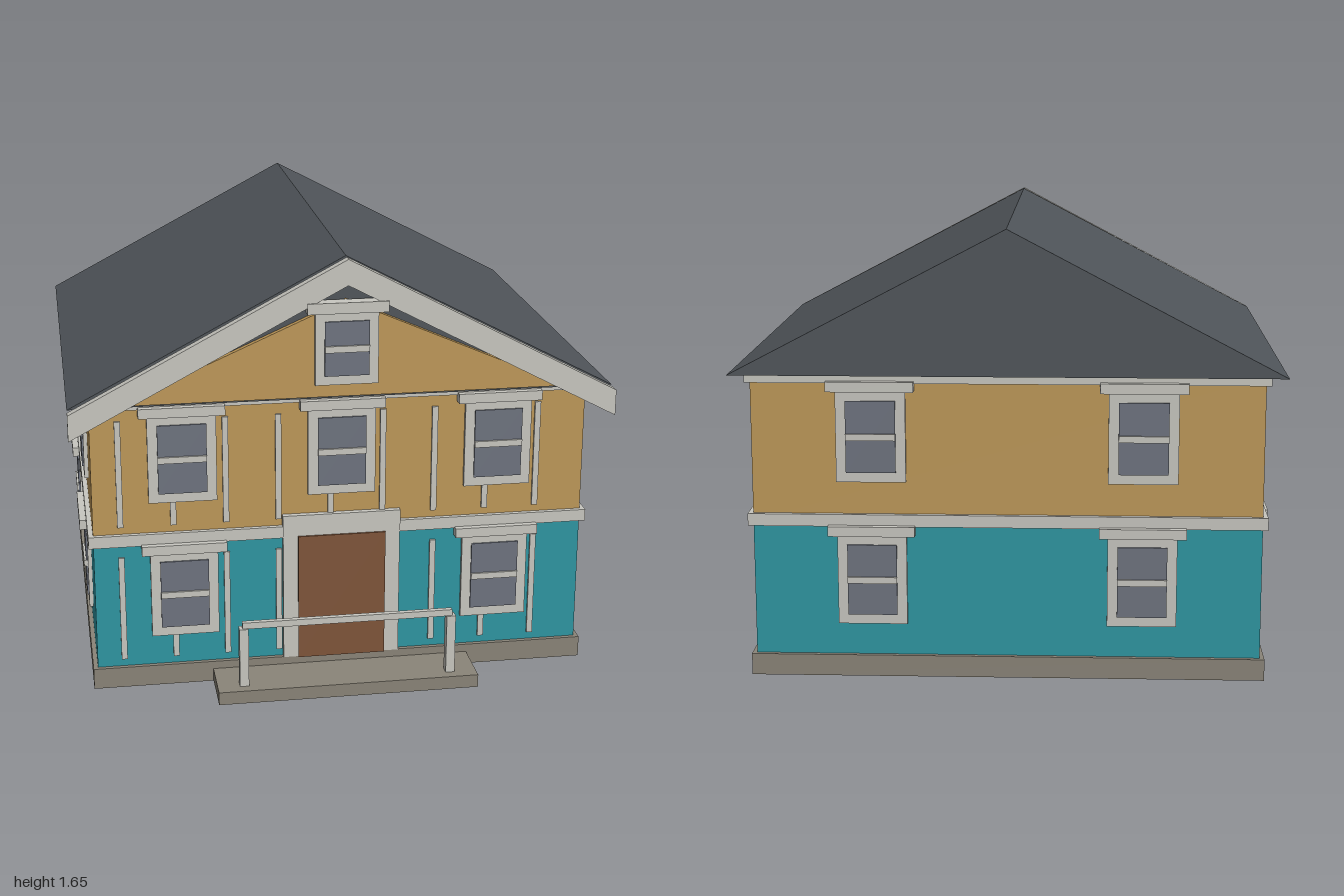
import * as THREE from 'three';

const mat = (name, hex) => {
  const m = new THREE.MeshStandardMaterial({ color: hex });
  m.name = name;
  return m;
};

export function createModel() {
  const teal = mat('teal siding', 0x2e97a3);
  const ochre = mat('ochre siding', 0xbf9959);
  const trim = mat('pale trim', 0xc9c8c1);
  const slate = mat('slate roof', 0x50555a);
  const stone = mat('stone', 0x8b8579);
  const glass = mat('window glass', 0x6f7480);
  const brown = mat('door brown', 0x80553a);

  const house = new THREE.Group();
  house.name = 'house';

  // Box given by its limits on each axis
  const box = (parent, name, material, x0, x1, y0, y1, z0, z1) => {
    const mesh = new THREE.Mesh(new THREE.BoxGeometry(x1 - x0, y1 - y0, z1 - z0), material);
    mesh.position.set((x0 + x1) / 2, (y0 + y1) / 2, (z0 + z1) / 2);
    mesh.name = name;
    parent.add(mesh);
    return mesh;
  };

  // Outline in the x-y plane, extruded from z0 to z1
  const slab = (name, material, points, z0, z1) => {
    const shape = new THREE.Shape(points.map(([x, y]) => new THREE.Vector2(x, y)));
    const geo = new THREE.ExtrudeGeometry(shape, { depth: z1 - z0, bevelEnabled: false });
    const mesh = new THREE.Mesh(geo, material);
    mesh.position.z = z0;
    mesh.name = name;
    house.add(mesh);
  };

  // Foundation, storeys and trim bands
  const FRONT = 0.747, BACK = -0.927, SIDE = 0.923;
  const storey = (name, material, y0, y1, out = 0) =>
    box(house, name, material, -SIDE - out, SIDE + out, y0, y1, BACK - out, FRONT + out);
  storey('foundation', stone, 0, 0.08, 0.017);
  storey('lowerWalls', teal, 0.08, 0.58);
  storey('upperWalls', ochre, 0.58, 1.125);
  storey('middleBand', trim, 0.567, 0.612, 0.018);
  storey('eaveBand', trim, 1.095, 1.124, 0.018);

  // Roof prism, front gable panel and bargeboards
  slab('roof', slate, [[-1, 1.125], [1, 1.125], [0, 1.65]], -0.967, 0.82);
  slab('gablePanel', ochre, [[-0.82, 1.137], [0.82, 1.137], [0, 1.495]], 0.815, 0.843);
  slab('bargeboards', trim,
    [[-1, 1.025], [0, 1.555], [1, 1.025], [1, 1.122], [0, 1.65], [-1, 1.122]], 0.842, 0.879);

  // Sash window facing local +z, with its sill at y = 0
  const makeWindow = (w, h, headW, headH, rim) => {
    const g = new THREE.Group();
    g.name = 'window';
    box(g, 'windowFrame', trim, -w / 2, w / 2, 0, h, -0.01, 0.015);
    box(g, 'windowPane', glass, -w / 2 + rim, w / 2 - rim, rim, h - rim, 0.014, 0.021);
    box(g, 'windowBar', trim, -w / 2 + rim, w / 2 - rim, h / 2 - 0.012, h / 2 + 0.012, 0.014, 0.029);
    box(g, 'windowHead', trim, -headW / 2, headW / 2, h, h + headH, -0.01, 0.042);
    return g;
  };
  const place = (win, x, y, z, turn) => {
    win.position.set(x, y, z);
    win.rotation.y = turn;
    house.add(win);
  };
  const wallWindow = (x, y, z, turn) => place(makeWindow(0.252, 0.335, 0.315, 0.037, 0.036), x, y, z, turn);

  for (const y of [0.2, 0.732]) {
    for (const x of [-0.59, 0, 0.59]) {
      if (x !== 0 || y > 0.5) wallWindow(x, y, FRONT, 0);
    }
    for (const x of [-0.49, 0.49]) wallWindow(x, y, BACK, Math.PI);
    for (const side of [-1, 1]) {
      for (const z of [0.33, -0.507]) wallWindow(side * SIDE, y, z, side * Math.PI / 2);
    }
  }
  place(makeWindow(0.23, 0.27, 0.294, 0.04, 0.034), 0, 1.185, 0.843, 0);

  // Vertical battens on the front, hidden behind windows and door where they cross
  for (const y of [0.11, 0.64]) {
    for (let i = 0; i < 9; i++) {
      const x = -0.822 + i * 0.1955;
      box(house, 'batten', trim, x - 0.011, x + 0.011, y, y + 0.41, FRONT - 0.005, FRONT + 0.009);
    }
  }

  // Front door and surround
  box(house, 'door', brown, -0.165, 0.165, 0.08, 0.573, 0.74, 0.777);
  for (const s of [-1, 1]) {
    box(house, 'doorPost', trim, s * 0.193 - 0.028, s * 0.193 + 0.028, 0.08, 0.573, 0.74, 0.768);
  }
  box(house, 'doorHead', trim, -0.222, 0.222, 0.573, 0.655, 0.74, 0.77);

  // Porch step with railing
  box(house, 'porchStep', stone, -0.49, 0.49, 0, 0.05, 0.75, 0.967);
  for (const s of [-1, 1]) {
    box(house, 'railPost', trim, s * 0.39 - 0.017, s * 0.39 + 0.017, 0.05, 0.28, 0.892, 0.928);
  }
  box(house, 'handrail', trim, -0.395, 0.395, 0.278, 0.303, 0.9, 0.92);

  return house;
}
